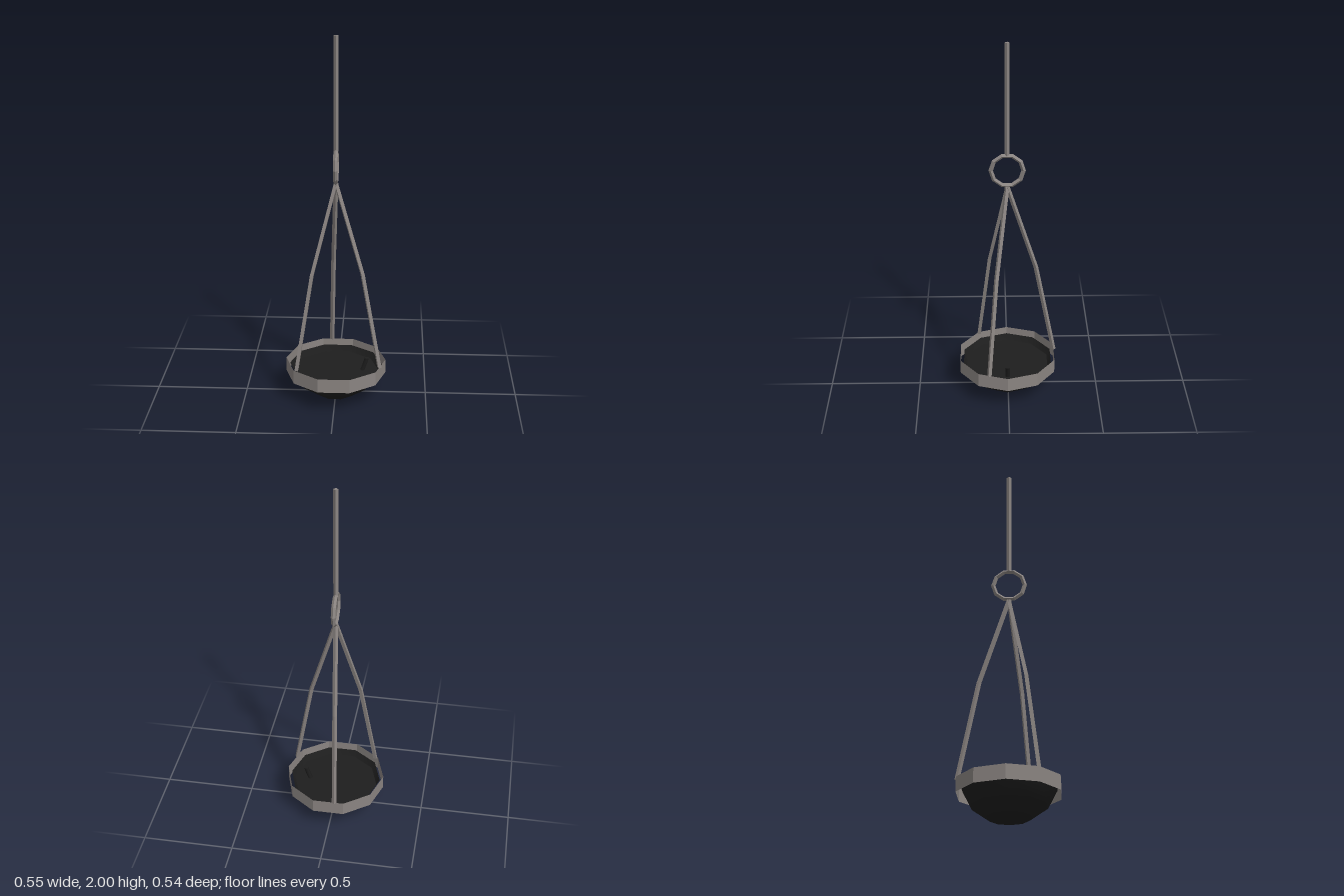
import * as THREE from 'three';

const SIDES = 10;
const CENTRE_Z = 0.004;

export function createModel() {
  const metal = new THREE.MeshStandardMaterial({ color: 0x8a8481, flatShading: true, side: THREE.DoubleSide });
  metal.name = 'warm grey metal';
  const black = new THREE.MeshStandardMaterial({ color: 0x1e1e1e, side: THREE.DoubleSide });
  black.name = 'soot black';

  const model = new THREE.Group();
  model.name = 'hangingBrazier';

  const add = (name, geometry, material, x = 0, y = 0, z = CENTRE_Z) => {
    const mesh = new THREE.Mesh(geometry, material);
    mesh.name = name;
    mesh.position.set(x, y, z);
    model.add(mesh);
    return mesh;
  };

  // Thin bar whose horizontal rows follow the given points, top to bottom
  const bar = (points, radius, sides, turn) => {
    const rows = points.length - 1;
    const g = new THREE.CylinderGeometry(radius, radius, rows, sides, rows, false, turn);
    const p = g.attributes.position;
    for (let i = 0; i < p.count; i++) {
      const [x, y, z] = points[Math.round(rows / 2 - p.getY(i))];
      p.setXYZ(i, p.getX(i) + x, y, p.getZ(i) + z);
    }
    g.computeVertexNormals();
    return g;
  };

  // Bowl with sloping sides, and the flat filling inside it
  const profile = [[0, 0], [0.105, 0], [0.203, 0.07], [0.255, 0.17]].map(([r, y]) => new THREE.Vector2(r, y));
  add('bowl', new THREE.LatheGeometry(profile, SIDES, Math.PI / 2), black);
  add('coalBed', new THREE.CircleGeometry(0.236, SIDES).rotateX(-Math.PI / 2), black, 0, 0.136);

  // Open faceted band around the bowl
  add('rimBand', new THREE.CylinderGeometry(0.275, 0.275, 0.078, SIDES, 1, true, Math.PI / 2), metal, 0, 0.161);

  // Small leaning stub standing in the bowl
  add('wick', bar([[0.172, 0.208, 0], [0.158, 0.165, 0], [0.142, 0.12, 0]], 0.013, 6, 0), black);

  // Three bent hanger rods meeting under the ring
  const feet = [[-0.207, 0.163], [0.243, 0.105], [-0.034, -0.257]];
  feet.forEach(([x, z], i) => {
    const dz = z - CENTRE_Z;
    const path = [[0, 1.22, 0], [x * 0.6, 0.73, dz * 0.6], [x, 0.2, dz]];
    add('hangerRod' + (i + 1), bar(path, 0.013, 4, Math.atan2(x, dz)), metal);
  });

  // Ring and the straight rod above it
  add('ring', new THREE.TorusGeometry(0.086, 0.012, 4, SIDES).rotateY(Math.PI / 2), metal, 0, 1.31);
  add('topRod', new THREE.CylinderGeometry(0.013, 0.013, 0.605, 4), metal, 0, 1.6975);

  return model;
}
